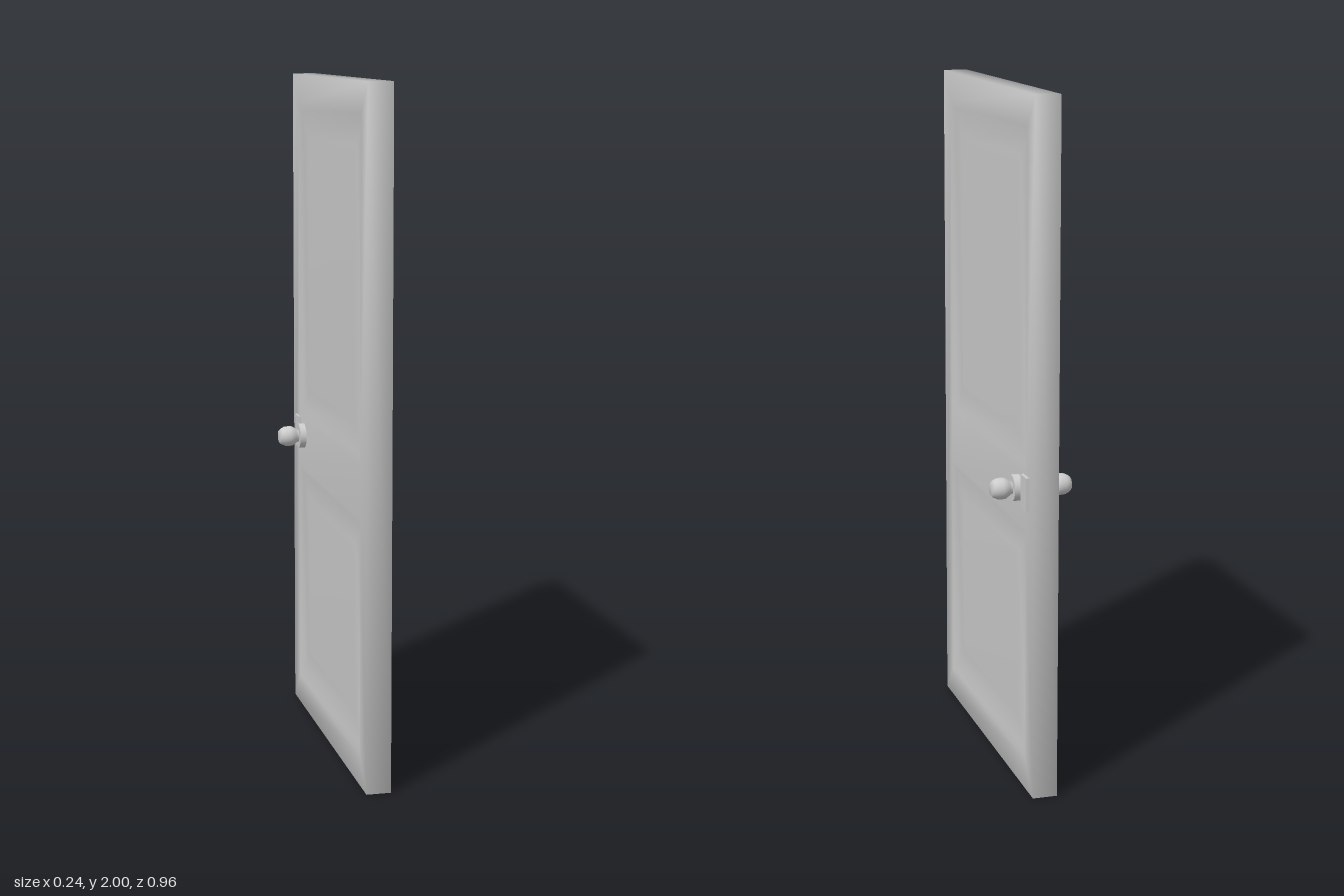
import * as THREE from 'three';
import { mergeGeometries, mergeVertices } from 'three/addons/utils/BufferGeometryUtils.js';

const WIDTH = 0.958, HEIGHT = 2, HALF = 0.036;
const DOOR_X = -0.002, KNOB_Z = -0.334, KNOB_Y = 0.886;
const PANELS = [{ y0: 0.09, y1: 0.78 }, { y0: 0.94, y1: 1.91 }];
const PANEL_HALF_WIDTH = 0.4;

// Corners of a rectangle, counter-clockwise
const rect = (hw, y0, y1, z) => [[-hw, y0, z], [hw, y0, z], [hw, y1, z], [-hw, y1, z]];

// Band of quads through successive rectangles, optionally closed by the last one
function loftRects(rings, cap) {
  const index = [];
  for (let r = 0; r < rings.length - 1; r++) {
    for (let i = 0; i < 4; i++) {
      const a = r * 4 + i, b = r * 4 + (i + 1) % 4;
      index.push(a, b, b + 4, a, b + 4, a + 4);
    }
  }
  const l = (rings.length - 1) * 4;
  if (cap) index.push(l, l + 1, l + 2, l, l + 2, l + 3);
  const g = new THREE.BufferGeometry();
  g.setAttribute('position', new THREE.Float32BufferAttribute(rings.flat(2), 3));
  g.setIndex(index);
  return g;
}

// One face of the door: flat frame with two sunken panels
function doorFace() {
  const frame = new THREE.Shape(rect(WIDTH / 2, 0, HEIGHT, 0).map(([x, y]) => new THREE.Vector2(x, y)));
  const parts = [];
  for (const { y0, y1 } of PANELS) {
    frame.holes.push(new THREE.Path(rect(PANEL_HALF_WIDTH, y0, y1, 0).map(([x, y]) => new THREE.Vector2(x, y))));
    // [inset, depth] steps: sloped edge, sunken border, slightly raised field
    const steps = [[0, 0], [0.02, 0.01], [0.09, 0.01], [0.11, 0.006]];
    parts.push(loftRects(steps.map(([s, d]) => rect(PANEL_HALF_WIDTH - s, y0 + s, y1 - s, HALF - d)), true));
  }
  const flat = new THREE.ShapeGeometry(frame).translate(0, 0, HALF);
  flat.deleteAttribute('normal');
  flat.deleteAttribute('uv');
  return mergeGeometries([flat, ...parts]);
}

// Both faces and the rim welded into one softly shaded leaf
function doorGeometry() {
  const rim = loftRects([rect(WIDTH / 2, 0, HEIGHT, -HALF), rect(WIDTH / 2, 0, HEIGHT, HALF)], false);
  const g = mergeVertices(mergeGeometries([
    doorFace().rotateY(Math.PI / 2),
    doorFace().rotateY(-Math.PI / 2),
    rim.rotateY(Math.PI / 2),
  ]));
  g.computeVertexNormals();
  return g;
}

export function createModel() {
  const group = new THREE.Group();
  const material = new THREE.MeshStandardMaterial({ color: 0xcccccc });
  const add = (name, geometry, x, y, z, parent = group) => {
    const mesh = new THREE.Mesh(geometry, material);
    mesh.name = name;
    mesh.position.set(x, y, z);
    parent.add(mesh);
    return mesh;
  };

  add('doorLeaf', doorGeometry(), DOOR_X, 0, 0);

  // Knob outline as radius and distance from the door centre
  const knobProfile = [
    [0.019, 0.054], [0.018, 0.059], [0.023, 0.066], [0.030, 0.076],
    [0.031, 0.086], [0.030, 0.100], [0.025, 0.111], [0.018, 0.118], [0, 0.118],
  ].map(([r, h]) => new THREE.Vector2(r, h));

  for (const [side, s] of [['left', 1], ['right', -1]]) {
    const handle = new THREE.Group();
    handle.name = side + 'Handle';
    group.add(handle);
    const turn = -s * Math.PI / 2;
    // Round collar against the door
    add(side + 'Collar', new THREE.CylinderGeometry(0.038, 0.038, 0.03, 24).rotateZ(turn), s * 0.042, KNOB_Y, KNOB_Z, handle);
    // Knob on its neck
    add(side + 'Knob', new THREE.LatheGeometry(knobProfile, 24).rotateZ(turn), 0, KNOB_Y, KNOB_Z, handle);
    // Lock plate between knob and door edge
    add(side + 'LockPlate', new THREE.BoxGeometry(0.02, 0.098, 0.055), s * 0.034, KNOB_Y + 0.002, -0.408, handle);
  }
  return group;
}
